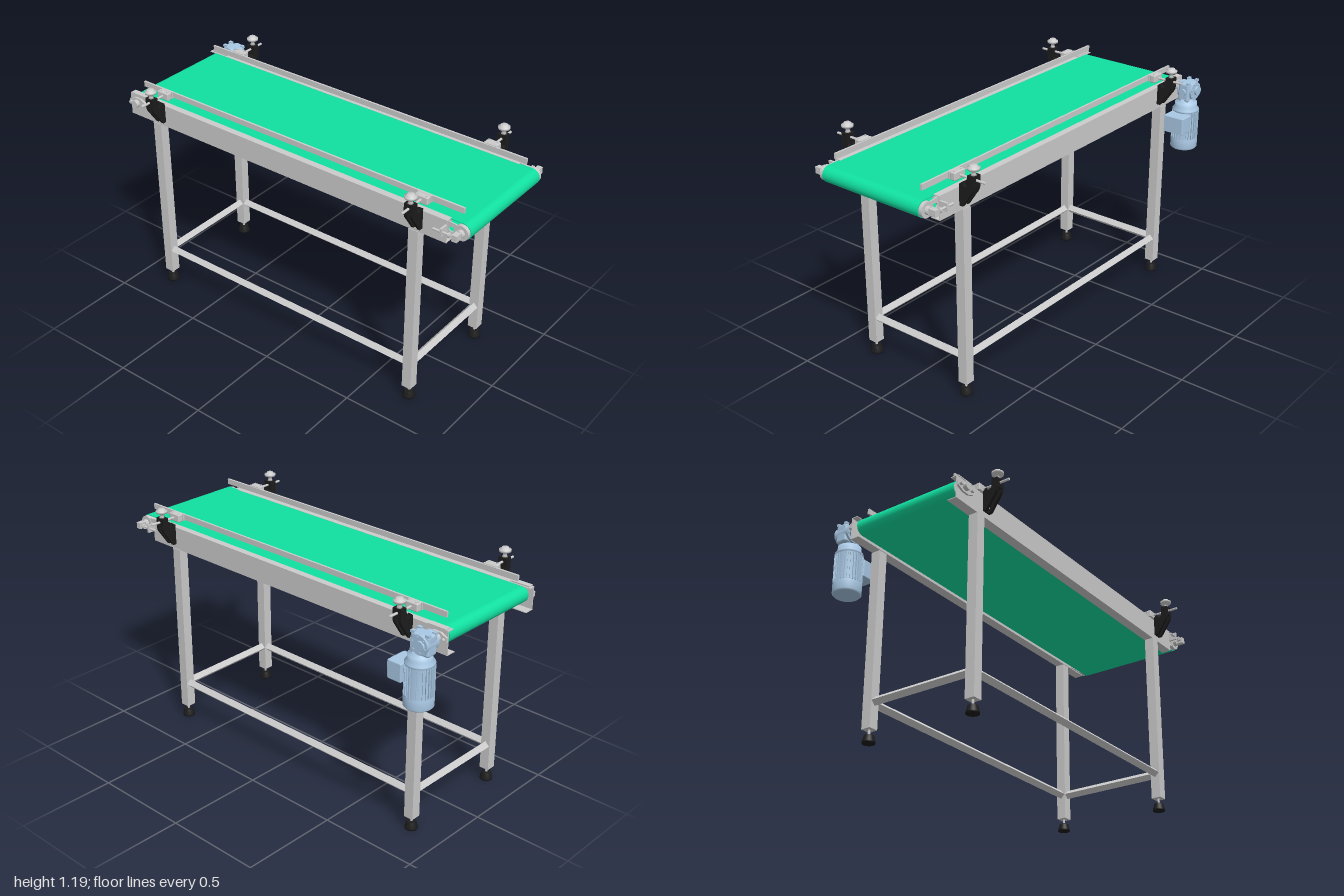
import * as THREE from 'three';
import { RoundedBoxGeometry } from 'three/addons/geometries/RoundedBoxGeometry.js';

const mat = (color) => new THREE.MeshStandardMaterial({ color, side: THREE.DoubleSide });
const grey = mat(0xcccccc), green = mat(0x10e0a0), black = mat(0x1c1c1c), blue = mat(0xa9c8e4);
const ZC = 0.0125; // centre line of the conveyor

export function createModel() {
  const root = new THREE.Group();

  const add = (name, geo, m, x = 0, y = 0, z = 0, parent = root) => {
    const mesh = new THREE.Mesh(geo, m);
    mesh.name = name;
    mesh.position.set(x, y, z);
    parent.add(mesh);
    return mesh;
  };
  const box = (name, w, h, d, m, x, y, z) => add(name, new THREE.BoxGeometry(w, h, d), m, x, y, z);
  // Cylinder along a chosen axis
  const rod = (name, axis, r, len, m, x, y, z, seg = 24, r2 = r) => {
    const g = new THREE.CylinderGeometry(r, r2, len, seg);
    if (axis === 'x') g.rotateZ(Math.PI / 2);
    if (axis === 'z') g.rotateX(Math.PI / 2);
    return add(name, g, m, x, y, z);
  };
  const poly = (pts) => new THREE.Shape(pts.map(([x, y]) => new THREE.Vector2(x, y)));
  const extrude = (shape, depth) => new THREE.ExtrudeGeometry(shape, { depth, bevelEnabled: false, curveSegments: 20 })
    .translate(0, 0, -depth / 2);
  // Cross-section (outward, up) swept along x on side s
  const sweepX = (shape, len, s) => extrude(shape, len).rotateY(-s * Math.PI / 2);
  // Outline of a belt round two rollers
  const stadium = (x0, x1, y, r, Type = THREE.Shape) => {
    const p = new Type();
    p.moveTo(x0, y - r);
    p.lineTo(x1, y - r);
    p.absarc(x1, y, r, -Math.PI / 2, Math.PI / 2, false);
    p.lineTo(x0, y + r);
    p.absarc(x0, y, r, Math.PI / 2, Math.PI * 1.5, false);
    return p;
  };

  // Belt, rollers and the bed between them
  const X0 = -0.95, X1 = 0.956, YB = 1.04;
  const belt = stadium(X0, X1, YB, 0.04);
  belt.holes.push(stadium(X0, X1, YB, 0.036, THREE.Path));
  const beltGeo = new THREE.ExtrudeGeometry(belt, { depth: 0.572, bevelEnabled: false, curveSegments: 28 }).translate(0, 0, -0.286);
  add('belt', beltGeo, green, 0, 0, ZC);
  for (const x of [X0, X1]) {
    rod('roller', 'z', 0.0355, 0.574, grey, x, YB, ZC, 32);
    rod('rollerShaft', 'z', 0.012, 0.67, grey, x, YB, ZC);
  }
  box('sliderBed', 1.78, 0.012, 0.56, grey, 0, 1.068, ZC);

  const legX = [-0.825, 0.72], clampX = [-0.787, 0.743];
  for (const s of [1, -1]) {
    const Z = (u) => ZC + s * u;

    // Channel-shaped side rail
    add('sideRail', sweepX(poly([[0.262, 0.965], [0.312, 0.965], [0.312, 1.081], [0.278, 1.081],
      [0.278, 1.077], [0.308, 1.077], [0.308, 0.969], [0.262, 0.969]]), 1.89, s), grey, -0.055, 0, ZC);

    // Legs with adjustable feet
    for (const x of legX) {
      box('leg', 0.05, 0.9, 0.05, grey, x, 0.515, Z(0.29));
      rod('footStem', 'y', 0.006, 0.04, grey, x, 0.055, Z(0.29), 12);
      const foot = [[0, 0], [0.031, 0], [0.031, 0.008], [0.023, 0.036], [0.02, 0.039], [0, 0.039]];
      add('foot', new THREE.LatheGeometry(foot.map(([r, y]) => new THREE.Vector2(r, y)), 24), black, x, 0, Z(0.29));
      rod('legBolt', 'y', 0.009, 0.008, grey, x, 0.973, Z(0.282), 6);
    }
    // Long stretcher, set on edge
    const bar = box('longStretcher', 1.496, 0.032, 0.032, grey, -0.0525, 0.198, Z(0.29));
    bar.rotation.x = Math.PI / 4;

    // Guide rail with its two clamps
    box('guideRail', 1.89, 0.028, 0.01, grey, -0.005, 1.124, Z(0.257));
    for (const x of clampX) {
      add('guideClamp', new RoundedBoxGeometry(0.07, 0.04, 0.03, 2, 0.006), grey, x, 1.124, Z(0.286));
      box('guideClampLip', 0.07, 0.034, 0.012, grey, x, 1.124, Z(0.264));
      for (const dx of [-0.022, 0.022]) rod('clampBolt', 'y', 0.006, 0.046, grey, x + dx, 1.124, Z(0.288), 6);
      rod('guideRod', 'z', 0.006, 0.15, grey, x, 1.124, Z(0.368), 16);

      // Curved bracket arm
      const arm = new THREE.Shape();
      arm.moveTo(0.359, 1.145);
      arm.lineTo(0.393, 1.145);
      arm.lineTo(0.393, 1.095);
      arm.quadraticCurveTo(0.392, 1.075, 0.375, 1.055);
      arm.lineTo(0.332, 0.992);
      arm.lineTo(0.313, 0.992);
      arm.lineTo(0.313, 1.095);
      arm.lineTo(0.33, 1.108);
      arm.quadraticCurveTo(0.336, 1.088, 0.348, 1.088);
      arm.quadraticCurveTo(0.359, 1.09, 0.359, 1.105);
      for (const dx of [-0.0165, 0.0165]) add('bracketArm', sweepX(arm, 0.014, s), black, x + dx, 0, ZC);
      box('bracketBase', 0.03, 0.1, 0.01, black, x, 1.042, Z(0.318));
      box('bracketHead', 0.046, 0.048, 0.034, black, x, 1.121, Z(0.376));
      for (const y of [1.015, 1.045]) rod('bracketBolt', 'z', 0.008, 0.012, grey, x, y, Z(0.324), 6);

      // Clamping knob
      const knob = [[0, 0], [0.014, 0], [0.01, 0.008], [0.009, 0.02], [0.028, 0.027], [0.029, 0.038], [0.018, 0.041], [0.016, 0.049], [0, 0.05]];
      add('knob', new THREE.LatheGeometry(knob.map(([r, y]) => new THREE.Vector2(r, y)), 20), grey, x, 1.144, Z(0.377));
    }

    // Belt tensioner at the tail end
    const plate = poly([[0.83, 1.005], [0.9, 1.005], [0.955, 1.012], [0.955, 1.068], [0.9, 1.075], [0.83, 1.075]]);
    plate.holes.push(stadium(0.905, 0.935, YB, 0.012, THREE.Path));
    add('tensionPlate', extrude(plate, 0.006), grey, 0, 0, Z(0.3));
    rod('tailCap', 'z', 0.037, 0.018, grey, X1, YB, Z(0.296), 32);
    rod('tailHub', 'z', 0.02, 0.02, grey, X1, YB, Z(0.313));
    box('tensionBlock', 0.026, 0.032, 0.05, grey, X1, YB, Z(0.334));
    rod('tensionScrew', 'x', 0.006, 0.13, grey, 0.905, YB, Z(0.345), 12);
    rod('tensionNut', 'x', 0.013, 0.012, grey, 0.925, YB, Z(0.345), 6);
    box('tensionStop', 0.01, 0.04, 0.045, grey, 0.885, YB, Z(0.333));

    // Flanged bearing at the drive end
    const flange = poly([[-0.055, -0.012], [-0.02, -0.028], [0.02, -0.028], [0.055, -0.012], [0.055, 0.012], [0.02, 0.028], [-0.02, 0.028], [-0.055, 0.012]]);
    add('bearingFlange', extrude(flange, 0.01), grey, X0 + 0.005, YB, Z(0.317));
    rod('bearingHub', 'z', 0.02, 0.024, grey, X0, YB, Z(0.33));
    for (const dx of [-0.035, 0.045]) rod('bearingBolt', 'z', 0.009, 0.014, grey, X0 + dx, YB, Z(0.328), 6);
    box('railEndTab', 0.1, 0.006, 0.03, grey, -0.94, 1.084, Z(0.3));
  }
  // Short stretchers, set on edge
  for (const x of legX) {
    const bar = box('crossStretcher', 0.032, 0.032, 0.532, grey, x, 0.198, ZC);
    bar.rotation.z = Math.PI / 4;
  }

  // Gear motor hung at the back of the drive end
  const MX = -0.92, MZ = -0.38;
  const body = [[0, 0.73], [0.062, 0.73], [0.069, 0.738], [0.069, 0.785], [0.062, 0.79], [0.062, 0.932],
    [0.068, 0.936], [0.068, 0.945], [0.056, 0.962], [0.056, 0.982], [0.036, 0.984], [0.036, 1.0], [0, 1.0]];
  const points = body.flatMap(([r, y]) => [new THREE.Vector2(r, y)]);
  add('motorBody', new THREE.LatheGeometry(points, 36), blue, MX, 0, MZ);
  for (let i = 0; i < 28; i++) {
    const a = (i / 28) * Math.PI * 2;
    const fin = box('coolingFin', 0.012, 0.145, 0.003, blue, MX + 0.063 * Math.cos(a), 0.862, MZ - 0.063 * Math.sin(a));
    fin.rotation.y = a;
  }
  add('terminalBox', new RoundedBoxGeometry(0.075, 0.092, 0.115, 2, 0.006), blue, -0.832, 0.888, -0.387);
  box('terminalLid', 0.006, 0.084, 0.105, blue, -0.793, 0.888, -0.387);

  // Gearbox with round covers
  add('gearbox', new RoundedBoxGeometry(0.1, 0.1, 0.062, 3, 0.012), blue, -0.935, 1.036, MZ);
  rod('gearboxCover', 'z', 0.046, 0.082, blue, X0 + 0.01, YB, MZ, 32);
  rod('gearboxHub', 'z', 0.024, 0.104, blue, X0, YB, MZ, 24);
  rod('gearboxShaft', 'z', 0.012, 0.13, grey, X0, YB, -0.36, 20);
  rod('gearboxPlug', 'x', 0.018, 0.11, blue, -0.93, YB, MZ, 16);
  for (let i = 0; i < 6; i++) {
    const a = (i / 6) * Math.PI * 2 + 0.3;
    rod('coverBolt', 'z', 0.006, 0.09, blue, X0 + 0.01 + 0.036 * Math.cos(a), YB + 0.036 * Math.sin(a), MZ, 6);
  }
  for (const dx of [-0.04, 0.04]) for (const dz of [-0.022, 0.022])
    box('gearboxLug', 0.02, 0.012, 0.016, blue, -0.935 + dx, 1.086, MZ + dz);

  return root;
}
